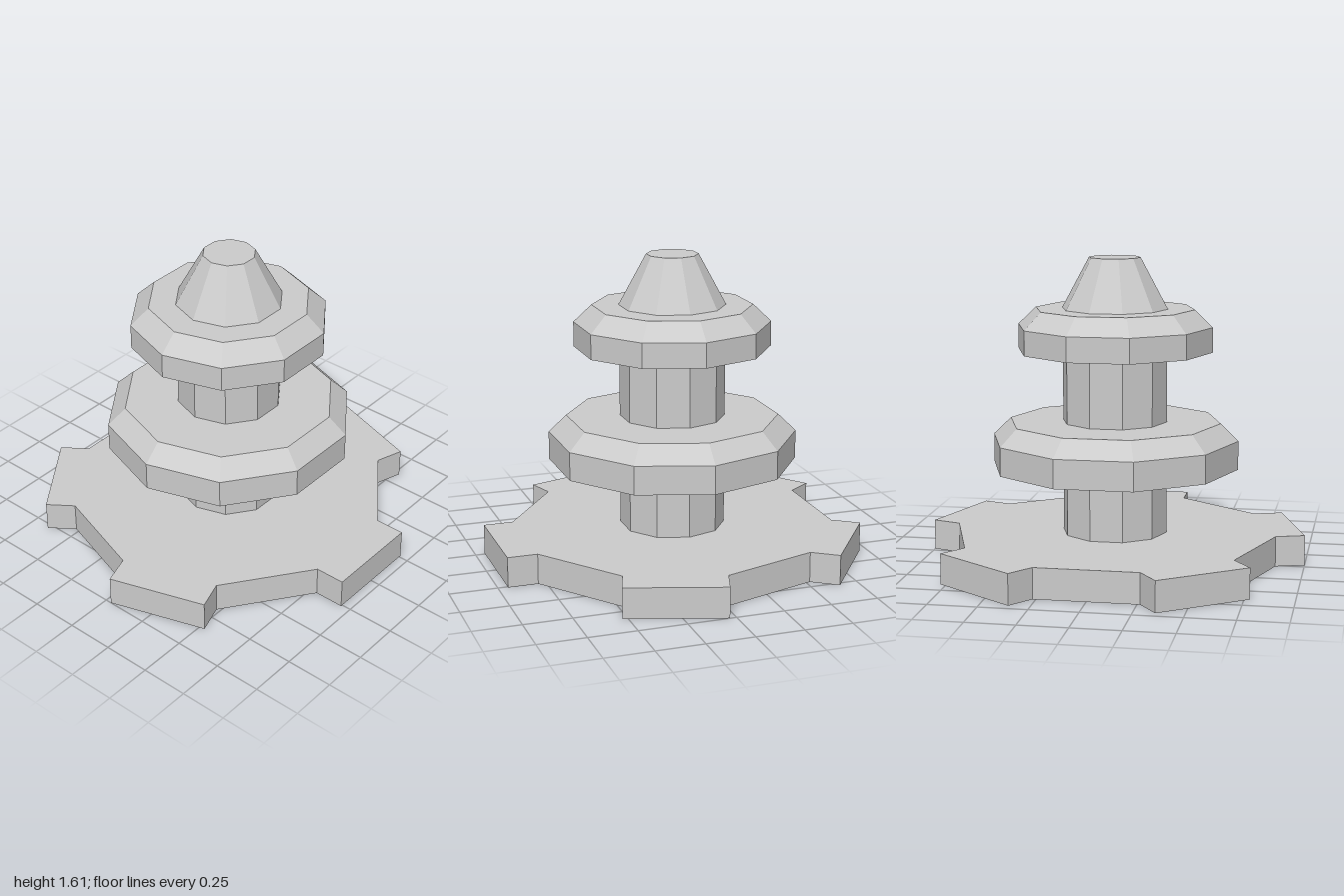
import * as THREE from 'three';

const SIDES = 10;
const material = new THREE.MeshStandardMaterial({ color: 0xcccccc, flatShading: true });

// Ten-sided prism or frustum, with corners on the x axis
function tier(name, bottomY, topY, bottomR, topR = bottomR, open = false) {
  const height = topY - bottomY;
  const geometry = new THREE.CylinderGeometry(topR, bottomR, height, SIDES, 1, open, Math.PI / SIDES);
  geometry.translate(0, bottomY + height / 2, 0);
  const mesh = new THREE.Mesh(geometry, material);
  mesh.name = name;
  return mesh;
}

// Disc with a bevelled upper rim, turned as one closed profile
function bevelledDisc(name, bottomY, rimY, topY, rimR, topR) {
  const profile = [[0, bottomY], [rimR, bottomY], [rimR, rimY], [topR, topY], [0, topY]]
    .map(([x, y]) => new THREE.Vector2(x, y));
  const mesh = new THREE.Mesh(new THREE.LatheGeometry(profile, SIDES, Math.PI / SIDES), material);
  mesh.name = name;
  return mesh;
}

// Flat base with five square lugs, the first one facing the front
function lobedBase(height) {
  const lugs = 5, rootR = 0.81, tipR = 0.967, halfWidth = 0.26;
  const points = [];
  for (let i = 0; i < lugs; i++) {
    const angle = -Math.PI / 2 + (i * 2 * Math.PI) / lugs;
    for (const [r, w] of [[rootR, -halfWidth], [tipR, -halfWidth], [tipR, halfWidth], [rootR, halfWidth]]) {
      points.push(new THREE.Vector2(r, w).rotateAround(new THREE.Vector2(), angle));
    }
  }
  const geometry = new THREE.ExtrudeGeometry(new THREE.Shape(points), { depth: height, bevelEnabled: false });
  geometry.rotateX(-Math.PI / 2);
  const mesh = new THREE.Mesh(geometry, material);
  mesh.name = 'lobedBase';
  return mesh;
}

export function createModel() {
  const model = new THREE.Group();
  model.name = 'tieredTower';

  const tower = new THREE.Group();
  tower.name = 'tower';
  tower.add(
    lobedBase(0.16),
    tier('lowerColumn', 0.16, 0.51, 0.275, 0.275, true),
    bevelledDisc('lowerDisc', 0.51, 0.66, 0.75, 0.65, 0.557),
    tier('upperColumn', 0.75, 1.12, 0.275, 0.275, true),
    bevelledDisc('upperDisc', 1.12, 1.25, 1.34, 0.512, 0.418),
    tier('taperedCap', 1.34, 1.605, 0.278, 0.135)
  );
  // Five lugs reach further forward than back, so shift to centre the footprint
  tower.position.z = -0.018;
  model.add(tower);
  return model;
}
